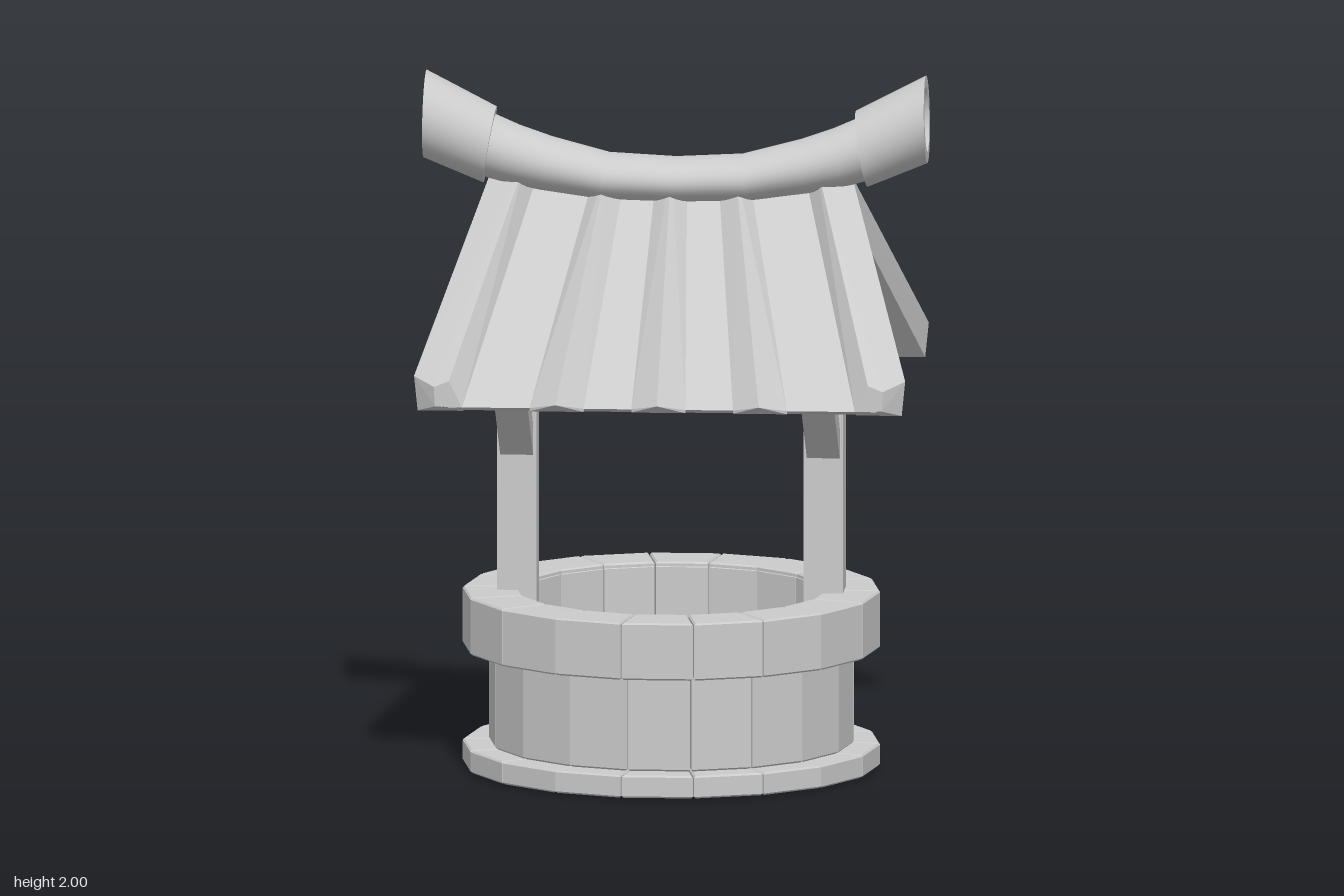
import * as THREE from 'three';
import { toCreasedNormals } from 'three/addons/utils/BufferGeometryUtils.js';
import { ConvexGeometry } from 'three/addons/geometries/ConvexGeometry.js';

const mat = new THREE.MeshStandardMaterial({ color: 0xcccccc });
const V = (x, y, z) => new THREE.Vector3(x, y, z);

function add(parent, name, geo) {
  const mesh = new THREE.Mesh(geo, mat);
  mesh.name = name;
  parent.add(mesh);
  return mesh;
}

// Ring of 18 separate wedge-shaped stones with softened edges
function stoneRing(name, R, r, y0, y1) {
  const ring = new THREE.Group();
  ring.name = name;
  const n = 18, a = Math.PI / n, gap = 0.002, bevel = 0.005;
  const ox = R * Math.sin(a) - gap, oy = R * Math.cos(a);
  const ix = r * Math.sin(a) - gap, iy = r * Math.cos(a);
  const shape = new THREE.Shape([[-ix, iy], [ix, iy], [ox, oy], [-ox, oy]].map(p => new THREE.Vector2(...p)));
  const geo = new THREE.ExtrudeGeometry(shape, {
    depth: y1 - y0 - 2 * bevel, bevelThickness: bevel, bevelSize: bevel, bevelOffset: -bevel, bevelSegments: 1
  });
  geo.rotateX(-Math.PI / 2);
  geo.translate(0, y0 + bevel, 0);
  for (let i = 0; i < n; i++) add(ring, 'stone', geo).rotation.y = 2 * a * i;
  return ring;
}

// Convex prism along x from a [z, y] outline
function prism(outline, x0, x1) {
  return new ConvexGeometry(outline.flatMap(([z, y]) => [V(x0, y, z), V(x1, y, z)]));
}

// Skin through elliptical rings [x, y, ry, rz, lean], ordered towards +x
function loft(rings, sides = 32) {
  const pos = [], idx = [];
  rings.forEach(([x, y, ry, rz, lean]) => {
    for (let j = 0; j <= sides; j++) {
      const t = (j / sides) * Math.PI * 2;
      pos.push(x - lean * Math.cos(t), y + ry * Math.cos(t), rz * Math.sin(t));
    }
  });
  for (let i = 0; i < rings.length - 1; i++) {
    for (let j = 0; j < sides; j++) {
      const a = i * (sides + 1) + j, b = a + sides + 1;
      idx.push(a, a + 1, b, b, a + 1, b + 1);
    }
  }
  const geo = new THREE.BufferGeometry();
  geo.setAttribute('position', new THREE.Float32BufferAttribute(pos, 3));
  geo.setIndex(idx);
  return toCreasedNormals(geo, 0.6);
}

// Point on a plane of the roof pitch whose height at the ridge line is k
const onRoof = (x, z, k) => V(x, k - 1.035 * z, z);

function roofHalf() {
  const half = new THREE.Group();
  half.name = 'roofHalf';

  const plate = [];
  for (const s of [-1, 1]) {
    plate.push(onRoof(s * 0.45, 0, 1.61), onRoof(s * 0.45, 0, 1.684),
      onRoof(s * 0.62, 0.545, 1.684), onRoof(s * 0.61, 0.49, 1.61));
  }
  add(half, 'roofPlate', new ConvexGeometry(plate));

  // Tent-shaped battens fanning out towards the eaves
  for (const c of [-1, 0, 1]) {
    const pts = [];
    for (const [z, x, w, tipZ, k] of [[0, 0.18, 0.045, 0, 1.74], [0.545, 0.29, 0.077, 0.605, 1.766]]) {
      for (const base of [1.675, 1.684]) pts.push(onRoof(c * x - w, z, base), onRoof(c * x + w, z, base));
      pts.push(onRoof(c * x, tipZ, k));
    }
    add(half, 'roofBatten', new ConvexGeometry(pts));
  }

  // Edge boards: crest on the inside, sloping outwards, with a clipped lower corner
  for (const s of [-1, 1]) {
    const pts = [
      [0.41, 0, 1.757], [0.515, 0, 1.705], [0.385, 0, 1.68], [0.385, 0, 1.603], [0.51, 0, 1.603],
      [0.597, 0.545, 1.759], [0.64, 0.545, 1.742], [0.70, 0.49, 1.707],
      [0.56, 0.545, 1.684], [0.637, 0.545, 1.686], [0.69, 0.487, 1.604], [0.56, 0.487, 1.604]
    ];
    add(half, 'edgeBoard', new ConvexGeometry(pts.map(([x, z, k]) => onRoof(s * x, z, k))));
  }
  return half;
}

export function createModel() {
  const model = new THREE.Group();
  model.name = 'well';
  const body = new THREE.Group();
  body.name = 'wellBody';
  body.position.x = -0.013;
  model.add(body);

  // Stonework
  body.add(stoneRing('baseRing', 0.595, 0.445, 0.005, 0.07));
  body.add(stoneRing('wall', 0.52, 0.445, 0.07, 0.345));
  body.add(stoneRing('rimRing', 0.595, 0.44, 0.345, 0.51));
  body.add(stoneRing('innerLining', 0.455, 0.438, 0.02, 0.5));
  const floor = new THREE.CylinderGeometry(0.525, 0.525, 0.02, 36);
  floor.translate(0, 0.01, 0);
  add(body, 'floor', toCreasedNormals(floor, 0.6));

  // Posts with cross beams and slanted braces
  for (const s of [-1, 1]) {
    const frame = new THREE.Group();
    frame.name = 'postFrame';
    frame.position.x = s * 0.437;
    const post = new THREE.BoxGeometry(0.112, 1.24, 0.12);
    post.translate(0, 0.64, 0);
    add(frame, 'post', post);
    add(frame, 'crossBeam', prism([[-0.45, 1.15], [0.45, 1.15], [0.355, 1.248], [-0.355, 1.248]], -0.048, 0.048));
    for (const d of [-1, 1]) {
      add(frame, 'brace', prism([[d * 0.04, 0.885], [d * 0.39, 1.155], [d * 0.255, 1.155], [d * 0.04, 0.97]], -0.047, 0.047));
    }
    body.add(frame);
  }

  // Roof slopes, front and back
  const front = roofHalf(), back = roofHalf();
  back.rotation.y = Math.PI;
  body.add(front, back);

  // Sagging ridge roll
  const sag = [[0, 1.691, 0.064], [0.2, 1.699, 0.066], [0.37, 1.733, 0.075], [0.47, 1.76, 0.081], [0.58, 1.80, 0.087]];
  const rings = [...sag.slice(1).reverse().map(([x, y, r]) => [-x, y, r]), ...sag]
    .map(([x, y, r]) => [x, y, r, 0.106, x * 0.05]);
  add(model, 'ridgeRoll', loft(rings));

  // Flared end collars with a recessed, closed mouth
  for (const s of [0, 1]) {
    const collar = loft([
      [0.53, 1.783, 0.07, 0.08, 0.012], [0.53, 1.785, 0.108, 0.122, 0.018], [0.715, 1.872, 0.125, 0.123, 0.003],
      [0.715, 1.872, 0.092, 0.09, 0.003], [0.68, 1.867, 0.068, 0.062, 0.004], [0.67, 1.862, 0, 0, 0]
    ]);
    add(model, 'ridgeCollar', collar).rotation.y = s * Math.PI;
  }
  return model;
}
